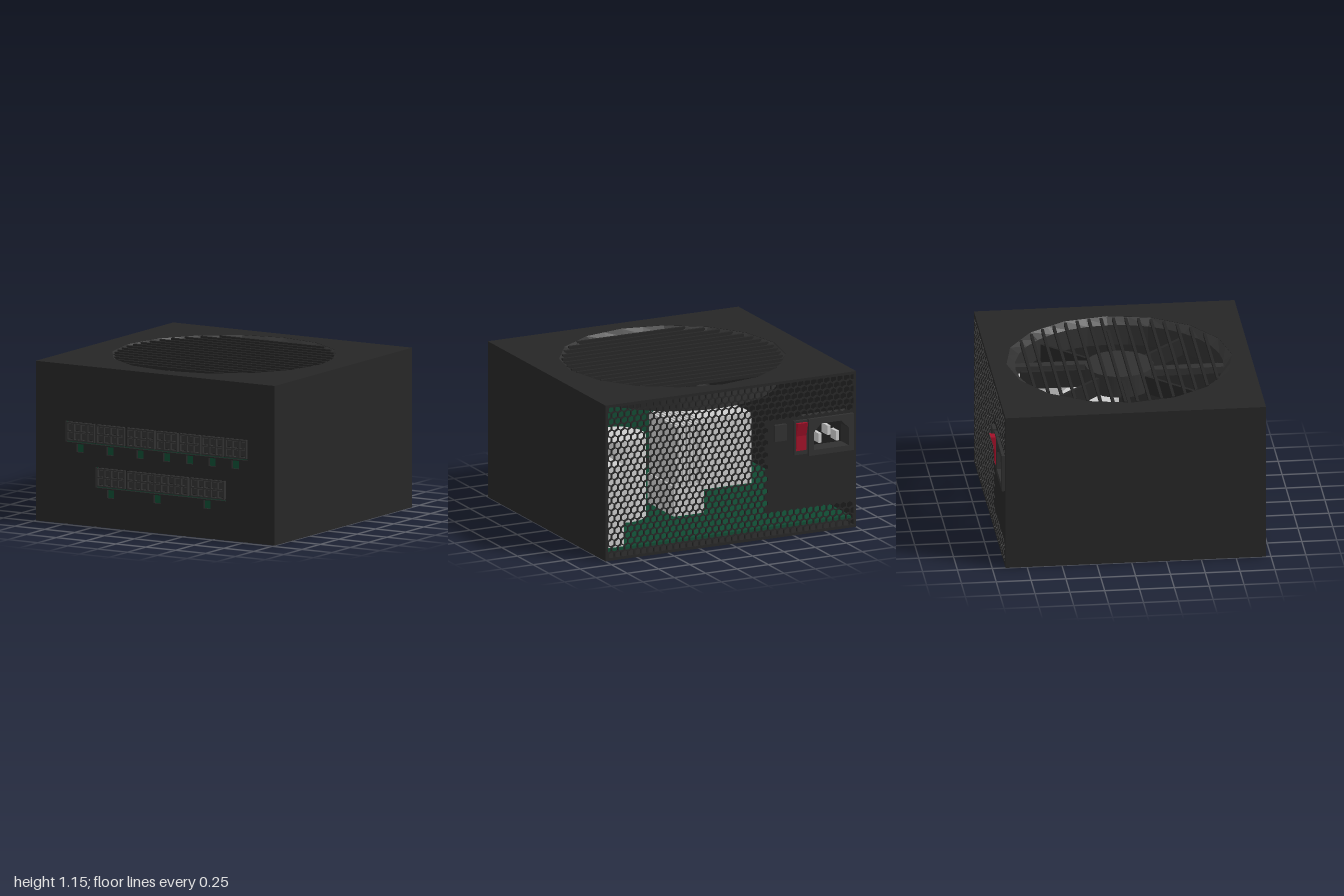
import * as THREE from 'three';
import { mergeGeometries } from 'three/addons/utils/BufferGeometryUtils.js';

const mat = (color, extra = {}) => new THREE.MeshStandardMaterial({ color, ...extra });
const CASE = mat(0x262626), DARK = mat(0x1b1b1b), PLASTIC = mat(0x303030);
const GREEN = mat(0x0f4a32), RED = mat(0xa01028), GREY = mat(0xcccccc);
const RING = mat(0x303030, { flatShading: true, side: THREE.DoubleSide });

const H = 1.155, BACK = -0.905, FRONT = 0.965, T = 0.02;
const FAN_Z = 0.025, FAN_R = 0.81, DUCT_R = 0.745;

// box geometry from its minimum and maximum corners
function span(x0, x1, y0, y1, z0, z1) {
  return new THREE.BoxGeometry(x1 - x0, y1 - y0, z1 - z0)
    .translate((x0 + x1) / 2, (y0 + y1) / 2, (z0 + z1) / 2);
}
const rectPoints = (x0, x1, y0, y1) =>
  [[x0, y0], [x1, y0], [x1, y1], [x0, y1]].map(p => new THREE.Vector2(...p));
const polyPoints = (cx, cy, r, n, turn = 0) => Array.from({ length: n }, (_, i) => {
  const a = turn + i / n * Math.PI * 2;
  return new THREE.Vector2(cx + r * Math.cos(a), cy + r * Math.sin(a));
});
// flat sheet with holes, extruded towards +z
function sheet(outline, holes, depth) {
  const shape = new THREE.Shape(outline);
  for (const h of holes) shape.holes.push(new THREE.Path(h));
  return new THREE.ExtrudeGeometry(shape, { depth, bevelEnabled: false });
}

export function createModel() {
  const model = new THREE.Group();
  const add = (name, geometry, material) => {
    const mesh = new THREE.Mesh(geometry, material);
    mesh.name = name;
    model.add(mesh);
    return mesh;
  };

  // Plain case walls
  add('bottomPanel', span(-1, 1, 0, T, BACK, FRONT), CASE);
  for (const s of [-1, 1])
    add(s < 0 ? 'rightPanel' : 'leftPanel',
      span(s < 0 ? -1 : 1 - T, s < 0 ? -1 + T : 1, 0, H, BACK, FRONT), CASE);

  // Top panel with the fan opening
  add('topPanel', sheet(rectPoints(-1, 1, -FRONT, -BACK), [polyPoints(0, -FAN_Z, FAN_R, 16)], T)
    .rotateX(-Math.PI / 2).translate(0, H - T, 0), CASE);

  // Connector rows: [centre x, columns]
  const rows = [
    { y0: 0.593, y1: 0.745, x0: -0.75, x1: 0.77,
      plugs: [[-0.63, 4], [-0.38, 4], [-0.127, 4], [0.095, 3], [0.287, 3], [0.475, 3], [0.67, 3]] },
    { y0: 0.283, y1: 0.432, x0: -0.5, x1: 0.59, plugs: [[-0.375, 4], [0.015, 9], [0.432, 5]] },
  ];
  const cutouts = [], bodies = [], backs = [], pins = [];
  for (const { y0, y1, x0, x1, plugs } of rows) {
    cutouts.push(rectPoints(x0, x1, y0, y1));
    const cy = (y0 + y1) / 2;
    for (const [cx, cols] of plugs) {
      cutouts.push(rectPoints(cx - 0.03, cx + 0.03, y0 - 0.068, y0 - 0.008));
      const w = cols * 0.056 + 0.008, holes = [];
      for (let c = 0; c < cols; c++) for (const r of [-0.5, 0.5]) {
        const x = cx + (c - (cols - 1) / 2) * 0.056, y = cy + r * 0.062;
        holes.push(rectPoints(x - 0.023, x + 0.023, y - 0.026, y + 0.026));
        pins.push(span(x - 0.018, x + 0.018, y - 0.021, y + 0.021, 0.93, FRONT - 0.01));
      }
      bodies.push(sheet(rectPoints(cx - w / 2, cx + w / 2, y0 + 0.008, y1 - 0.008), holes, 0.035)
        .translate(0, 0, FRONT - 0.035));
    }
    backs.push(span(x0 + 0.004, x1 - 0.004, y0 + 0.004, y1 - 0.007, 0.925, 0.94));
  }
  add('frontPanel', sheet(rectPoints(-1, 1, 0, H), cutouts, T).translate(0, 0, FRONT - T), CASE);
  add('connectorHousings', mergeGeometries(bodies), PLASTIC);
  add('connectorBacks', mergeGeometries(backs), DARK);
  add('connectorSockets', mergeGeometries(pins), PLASTIC);
  add('connectorBoard', span(-0.85, 0.85, 0.15, 0.82, 0.9, 0.925), GREEN);

  // Back panel: honeycomb vents around a solid area for the power inlet
  const vents = [], pitch = 0.052, rowStep = pitch * 0.866;
  for (let j = 0; j < 25; j++) for (let i = 0; i < 38; i++) {
    const x = -0.975 + i * pitch + (j % 2) * pitch / 2, y = 0.037 + j * rowStep;
    if (x > 0.975 || (x < -0.28 && y > 0.2 && y < 0.875)) continue;
    vents.push(polyPoints(x, y, 0.0252, 6, Math.PI / 6));
  }
  vents.push(rectPoints(-0.94, -0.64, 0.61, 0.82));
  add('backVentPanel', sheet(rectPoints(-1, 1, 0, H), vents, 0.015).translate(0, 0, BACK), CASE);

  // Power inlet: frame, recess and three blades
  const opening = [[-0.93, 0.62], [-0.65, 0.62], [-0.65, 0.75], [-0.71, 0.81], [-0.87, 0.81], [-0.93, 0.75]]
    .map(p => new THREE.Vector2(...p));
  add('inletFrame', sheet(rectPoints(-0.97, -0.61, 0.58, 0.852), [opening], 0.14)
    .translate(0, 0, BACK - 0.023), PLASTIC);
  add('inletBack', span(-0.96, -0.62, 0.59, 0.84, -0.8, -0.785), DARK);
  add('inletBlades', mergeGeometries([[-0.86, 0.69], [-0.79, 0.74], [-0.72, 0.69]].map(([x, y]) =>
    span(x - 0.012, x + 0.012, y - 0.035, y + 0.035, -0.89, -0.79))), GREY);

  // Rocker switch and small button
  add('switchHousing', span(-0.6, -0.495, 0.6, 0.852, BACK - 0.023, BACK + 0.05), PLASTIC);
  const rocker = [[0.905, 0.63], [0.905, 0.835], [0.965, 0.84], [0.935, 0.74], [0.932, 0.63]]
    .map(p => new THREE.Vector2(...p));
  add('switchRocker', sheet(rocker, [], 0.08).rotateY(Math.PI / 2)
    .applyMatrix4(new THREE.Matrix4().makeTranslation(-0.588, 0, 0)), RED);
  add('backButton', span(-0.435, -0.34, 0.72, 0.84, BACK - 0.028, BACK + 0.03), PLASTIC);

  // Fan opening: bevelled ring and duct
  const ring = new THREE.LatheGeometry([[FAN_R, H - 0.002], [DUCT_R, H - 0.045], [DUCT_R, 0.96]]
    .map(p => new THREE.Vector2(...p)), 32);
  const rp = ring.attributes.position;
  for (let i = 0; i < rp.count; i++) { // top rim follows the 16-sided opening
    const k = i % 3 === 0 && Math.floor(i / 3) % 2 ? Math.cos(Math.PI / 16) : 1;
    rp.setXYZ(i, rp.getX(i) * k, rp.getY(i), rp.getZ(i) * k);
  }
  add('fanDuct', ring.translate(0, 0, FAN_Z), RING);

  // Straight grille bars across the opening
  const bars = [];
  for (let i = 0; i < 16; i++) {
    const z = -0.632 + i * 0.0878, half = Math.sqrt(0.795 ** 2 - (z - FAN_Z) ** 2) - 0.01;
    bars.push(span(-half, half, H - 0.025, H - 0.002, z - 0.01, z + 0.01));
  }
  add('fanGrille', mergeGeometries(bars), CASE);

  // Fan: hub, eight upright blades, two support arms
  const fan = new THREE.Group();
  fan.name = 'fan';
  fan.position.set(0, 1.04, FAN_Z);
  model.add(fan);
  const hub = new THREE.Mesh(new THREE.CylinderGeometry(0.245, 0.245, 0.16, 24), PLASTIC);
  hub.name = 'fanHub';
  fan.add(hub);
  for (let i = 0; i < 8; i++) {
    const blade = new THREE.Mesh(span(0.2, 0.71, -0.08, 0.05, -0.012, 0.012), CASE);
    blade.name = 'fanBlade';
    blade.rotation.y = i * Math.PI / 4;
    fan.add(blade);
  }
  for (const s of [-1, 1]) {
    const arm = new THREE.Mesh(span(0.043, 0.113, 0.02, 0.07, -0.745, -0.2), PLASTIC);
    arm.name = 'fanArm';
    arm.rotation.y = s < 0 ? 0 : Math.PI;
    fan.add(arm);
  }

  // Circuit board and the components standing on it
  add('circuitBoard', span(-0.97, 0.97, 0.06, 0.08, -0.88, 0.94), GREEN);
  const capacitor = (x, z, r, h) =>
    add('capacitor', new THREE.CylinderGeometry(r, r, h, 18).translate(x, 0.08 + h / 2, z), GREY);
  capacitor(0.515, -0.125, 0.205, 0.6);
  capacitor(0.38, 0.7, 0.055, 0.25);
  add('sideHeatSink', span(0.83, 0.95, 0.08, 0.68, -0.86, -0.08), GREY);
  add('transformer', span(-0.72, -0.33, 0.08, 0.6, 0.2, 0.47), GREY);
  const fins = (x0, x1, z0, z1, y1) => {
    const parts = [span(x0, x1, 0.08, 0.3, z0, z1)];
    for (let x = x0; x < x1 - 0.01; x += 0.03) parts.push(span(x, x + 0.018, 0.3, y1, z0, z1));
    add('finnedHeatSink', mergeGeometries(parts), GREY);
  };
  fins(-0.33, -0.1, 0.2, 0.47, 0.6);
  fins(-0.07, 0.17, -0.34, 0.08, 0.75);

  return model;
}
